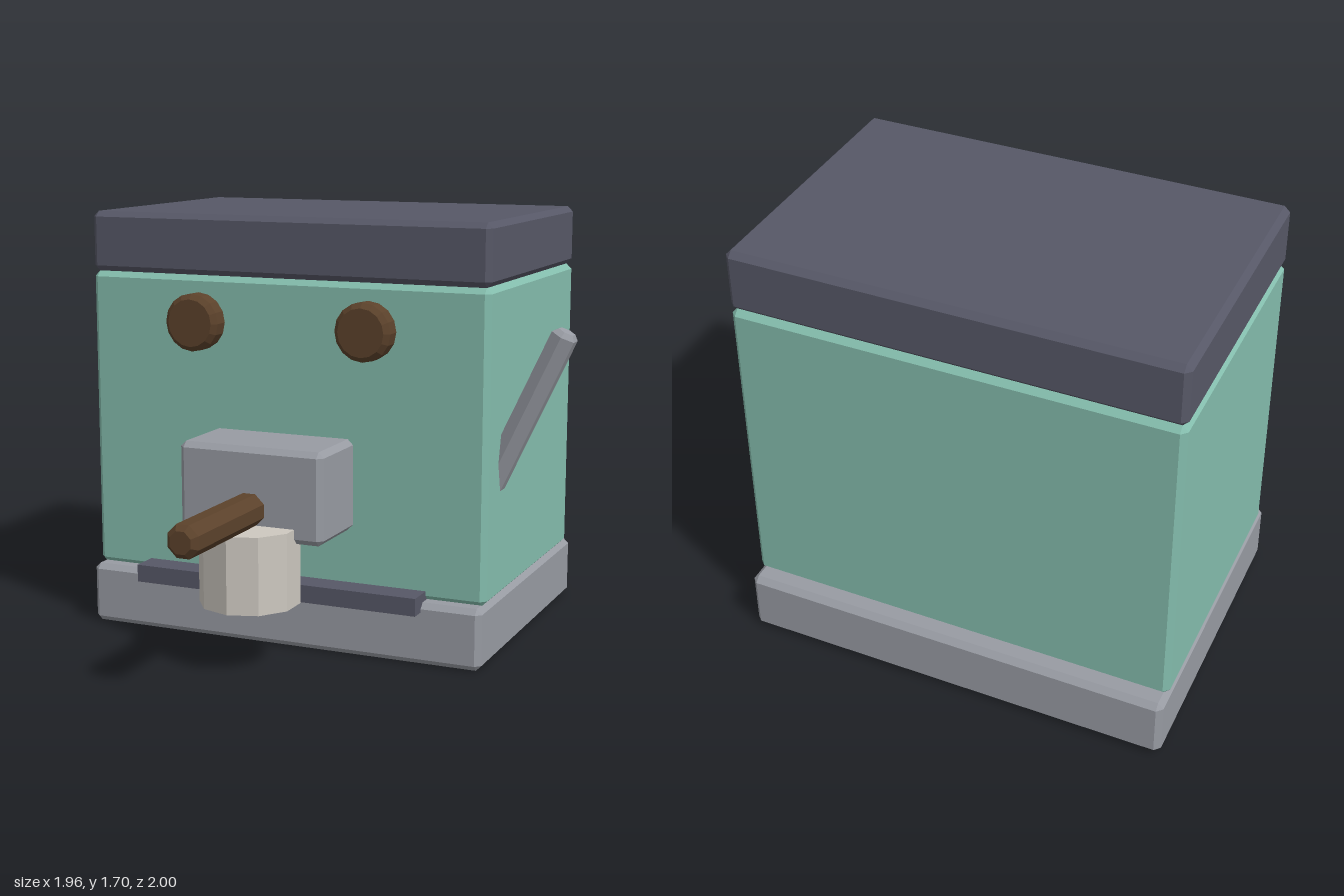
import * as THREE from 'three';
import { ConvexGeometry } from 'three/addons/geometries/ConvexGeometry.js';

const flat = (name, color) => {
  const m = new THREE.MeshStandardMaterial({ color, flatShading: true });
  m.name = name;
  return m;
};

// Box with every edge chamfered by c, given its limits on each axis
function chamferBox([x0, x1], [y0, y1], [z0, z1], c) {
  const half = [(x1 - x0) / 2, (y1 - y0) / 2, (z1 - z0) / 2];
  const points = [];
  for (const sx of [-1, 1]) for (const sy of [-1, 1]) for (const sz of [-1, 1]) {
    for (let axis = 0; axis < 3; axis++) {
      const p = half.map((h, i) => (i === axis ? h : h - c));
      points.push(new THREE.Vector3(sx * p[0], sy * p[1], sz * p[2]));
    }
  }
  return new ConvexGeometry(points).translate((x0 + x1) / 2, (y0 + y1) / 2, (z0 + z1) / 2);
}

// Prism along y from 0 to length, chamfered at its far end
function chamferRod(radius, length, sides, c) {
  const profile = [[0, 0], [radius, 0], [radius, length - c], [radius - c, length], [0, length]];
  return new THREE.LatheGeometry(profile.map(([x, y]) => new THREE.Vector2(x, y)), sides);
}

export function createModel() {
  const model = new THREE.Group();
  model.name = 'coffeeMachine';

  const mint = flat('mint', 0x84bdad);
  const slate = flat('slate', 0x575867);
  const steel = flat('steel', 0x989ba3);
  const wood = flat('wood', 0x5c422b);
  const cream = flat('cream', 0xcdc8c0);

  const add = (name, geometry, material) => {
    const mesh = new THREE.Mesh(geometry, material);
    mesh.name = name;
    model.add(mesh);
    return mesh;
  };

  // Housing: base, body and lid
  const width = [-0.985, 0.705];
  add('base', chamferBox(width, [0, 0.245], [-1, 0.21], 0.022), steel);
  add('body', chamferBox(width, [0.24, 1.455], [-0.935, 0.157], 0.022), mint);
  add('lid', chamferBox(width, [1.455, 1.695], [-0.935, 0.157], 0.022), slate);

  // Drip tray
  add('dripTray', new THREE.BoxGeometry(1.205, 0.07, 0.2).translate(-0.138, 0.245, 0.17), slate);

  // Brew head with its handle
  add('brewHead', chamferBox([-0.44, 0.16], [0.49, 0.85], [0.1, 0.455], 0.022), steel);
  const handle = add('brewHandle', chamferRod(0.067, 0.6, 8, 0.022).rotateY(Math.PI / 8), wood);
  handle.rotation.x = Math.PI / 2;
  handle.position.set(-0.14, 0.61, 0.4);

  // Cup
  add('cup', new THREE.CylinderGeometry(0.195, 0.195, 0.3, 10).translate(-0.138, 0.4, 0.46), cream);

  // Two round knobs
  for (const x of [-0.502, 0.222]) {
    const knob = add('knob', chamferRod(0.114, 0.14, 16, 0.02), wood);
    knob.rotation.x = Math.PI / 2;
    knob.position.set(x, 1.275, 0.098);
  }

  // Slanted side lever
  const lever = add('sideLever', chamferRod(0.054, 0.76, 6, 0.02), steel);
  lever.rotation.z = -0.436;
  lever.position.set(0.624, 0.6, -0.027);

  return model;
}
